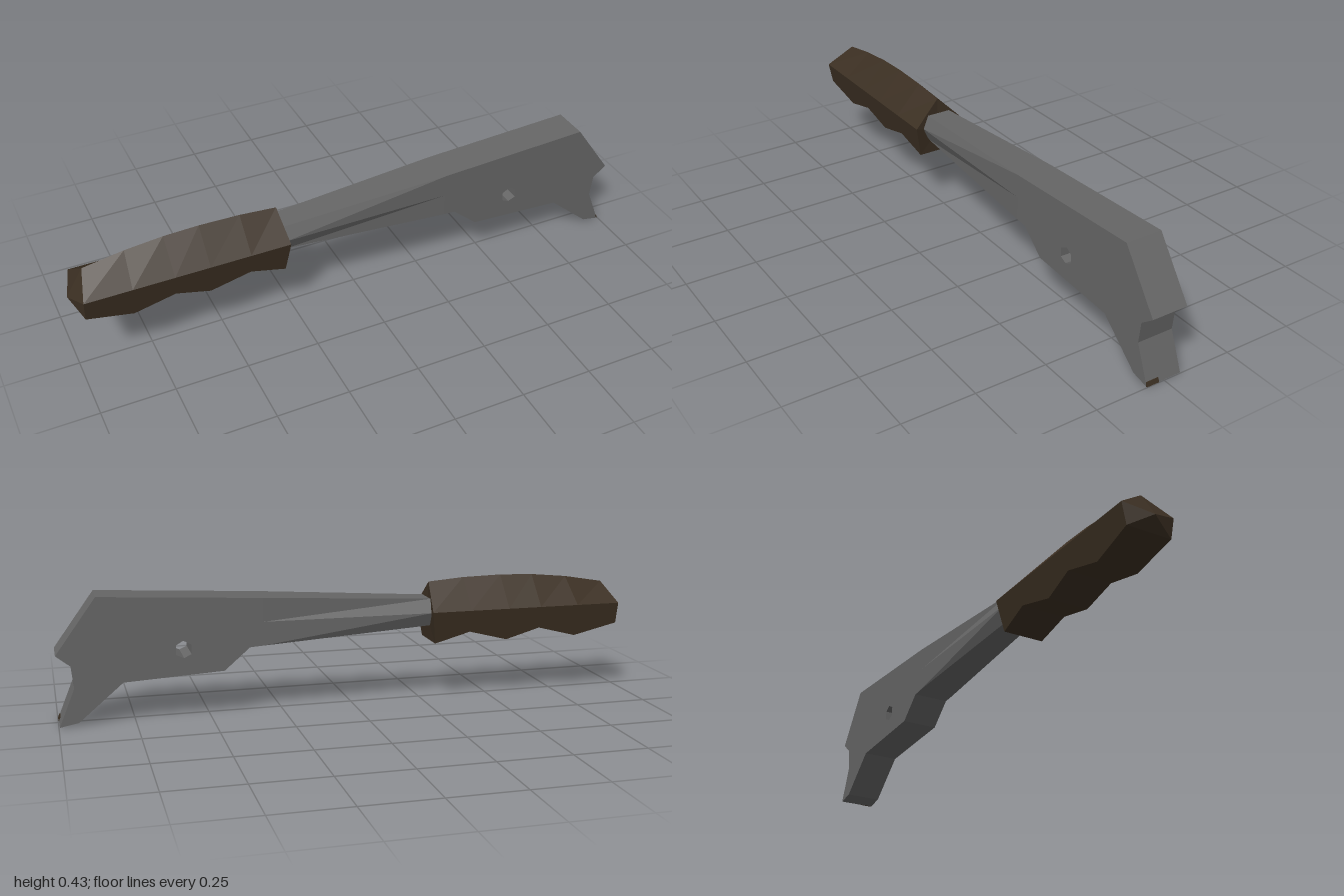
import * as THREE from 'three';

const steel = new THREE.MeshStandardMaterial({ color: 0x666666 });
steel.name = 'grey steel';
const wood = new THREE.MeshStandardMaterial({ color: 0x3b2f22 });
wood.name = 'dark brown grip';

// Skin matching rings of [x, y, z] points, listed from -x to +x, with closed ends.
// Each ring runs from the top towards -z, down, and back up at +z;
// startTip gives a pointed first end.
function loft(rings, startTip) {
  const pos = [];
  const tri = (a, b, c) => pos.push(...a, ...b, ...c);
  const n = rings[0].length;
  for (let i = 0; i < rings.length - 1; i++) {
    for (let j = 0; j < n; j++) {
      const k = (j + 1) % n;
      const [a, b, c, d] = [rings[i][j], rings[i][k], rings[i + 1][k], rings[i + 1][j]];
      tri(a, c, b);
      tri(a, d, c);
    }
  }
  const mid = (ring) => [0, 1, 2].map((q) => ring.reduce((s, p) => s + p[q], 0) / n);
  const first = rings[0], last = rings[rings.length - 1];
  const start = startTip || mid(first), end = mid(last);
  for (let j = 0; j < n; j++) {
    const k = (j + 1) % n;
    tri(start, first[j], first[k]);
    tri(end, last[k], last[j]);
  }
  const g = new THREE.BufferGeometry();
  g.setAttribute('position', new THREE.Float32BufferAttribute(pos, 3));
  g.computeVertexNormals();
  return g;
}

// Flat outline in x and y, extruded from z0 to z1
const toPoints = (list) => list.map(([x, y]) => new THREE.Vector2(x, y));
function slab(outline, z0, z1, hole) {
  const shape = new THREE.Shape(toPoints(outline));
  if (hole) shape.holes.push(new THREE.Path(toPoints(hole)));
  const g = new THREE.ExtrudeGeometry(shape, { depth: z1 - z0, bevelEnabled: false });
  return g.translate(0, 0, z0);
}

export function createModel() {
  const model = new THREE.Group();
  const add = (name, geometry, material) => {
    const mesh = new THREE.Mesh(geometry, material);
    mesh.name = name;
    model.add(mesh);
  };
  const half = 0.064;

  // Hooked blade head with a six-sided through hole
  add('bladeHead', slab([
    [0.32, 0.234], [0.365, 0.231], [0.452, 0.156], [0.787, 0.138], [0.935, 0.012],
    [0.997, 0], [0.945, 0.128], [0.953, 0.203], [1, 0.24], [0.865, 0.427], [0.32, 0.397],
  ], -half, half, [
    [0.56, 0.252], [0.588, 0.267], [0.612, 0.252], [0.612, 0.22], [0.586, 0.208], [0.561, 0.22],
  ]), steel);

  // Small brown inlay on the end of the hook
  add('hookTipInlay', slab([
    [0.995, 0], [0.999, 0], [0.9935, 0.014], [0.9895, 0.014],
  ], 0.018, half), wood);

  // Shank, bevelled at the grip and squared off at the head
  const shankRing = (x, top, bottom, edge) => {
    const m = (top + bottom) / 2;
    return [
      [x, top, edge], [x, top, -edge], [x, m, -half],
      [x, bottom, -edge], [x, bottom, edge], [x, m, half],
    ];
  };
  add('shank', loft([
    shankRing(-0.275, 0.36, 0.266, 0.043),
    shankRing(0.32, 0.397, 0.234, half),
  ]), steel);

  // Ridged grip with finger scallops: [ridge x, ridge y, bottom x, bottom y, side x]
  const stations = [
    [-0.94, 0.385, -0.967, 0.245, -0.968],
    [-0.8, 0.409, -0.81, 0.206, -0.81],
    [-0.67, 0.422, -0.67, 0.243, -0.67],
    [-0.55, 0.426, -0.55, 0.206, -0.55],
    [-0.41, 0.423, -0.41, 0.243, -0.41],
    [-0.282, 0.413, -0.285, 0.206, -0.27],
  ];
  const gripRings = stations.map(([rx, ry, bx, by, sx]) => {
    const w = 0.094 - 0.19 * (0.32 - by);
    return [[rx, ry, 0], [sx, 0.32, -0.094], [bx, by, -w], [bx, by, w], [sx, 0.32, 0.094]];
  });
  add('grip', loft(gripRings, [-1, 0.288, 0]), wood);

  return model;
}
